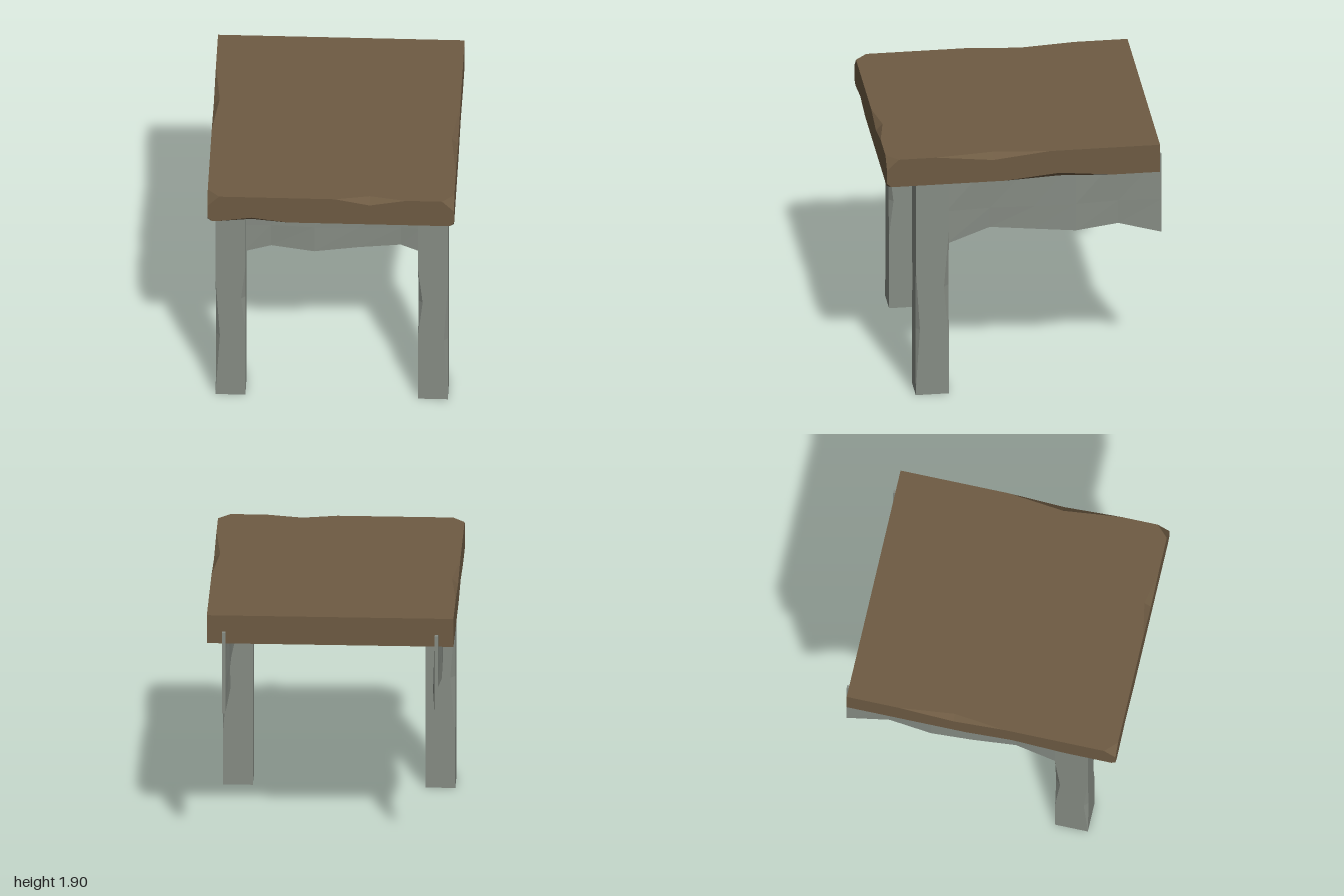
import * as THREE from 'three';

const wood = new THREE.MeshStandardMaterial({ color: 0x6e5b43, flatShading: true });
wood.name = 'brown wood';
const grey = new THREE.MeshStandardMaterial({ color: 0x868c84, flatShading: true });
grey.name = 'grey wood';

// Box with notches along its edges and cut corners.
// chip: edge = side signs (0 along the edge), span = [from, mid, to], d = depth
// cut: corner = side signs, d = cut length per axis
function chippedBox(min, max, chips, cuts = []) {
  const pos = [];
  const at = (signs) => signs.map((s, i) => (s > 0 ? max[i] : min[i]));
  const inward = (p, signs, axis, d) => {
    const q = [...p];
    q[axis] -= signs[axis] * d;
    return q;
  };
  const same = (a, b) => a.every((n, i) => n === b[i]);

  const poly = (pts, out) => {
    const o = new THREE.Vector3(...out);
    const big = out.map(Math.abs);
    const drop = big.indexOf(Math.max(...big));
    const flat = pts.map((p) => new THREE.Vector2(p[(drop + 1) % 3], p[(drop + 2) % 3]));
    for (const tri of THREE.ShapeUtils.triangulateShape(flat, [])) {
      const [a, b, c] = tri.map((i) => new THREE.Vector3(...pts[i]));
      const n = b.clone().sub(a).cross(c.clone().sub(a));
      const order = n.dot(o) > 0 ? [a, b, c] : [a, c, b];
      order.forEach((v) => pos.push(v.x, v.y, v.z));
    }
  };

  // six faces, each outlined around its notches
  const loop = [[-1, -1], [1, -1], [1, 1], [-1, 1]];
  for (let a = 0; a < 3; a++) for (const s of [-1, 1]) {
    const u = (a + 1) % 3, v = (a + 2) % 3, pts = [];
    loop.forEach(([su, sv], k) => {
      const signs = [0, 0, 0];
      signs[a] = s; signs[u] = su; signs[v] = sv;
      const along = k % 2 ? v : u, across = k % 2 ? u : v;
      const p = at(signs);
      const cut = cuts.find((c) => same(c.corner, signs));
      if (cut) {
        pts.push(inward(p, signs, across, cut.d[across]), inward(p, signs, along, cut.d[along]));
      } else pts.push(p);
      const edge = [...signs];
      edge[along] = 0;
      const chip = chips.find((c) => same(c.edge, edge));
      if (!chip) return;
      const three = chip.span.map((t, i) => {
        const q = [...p];
        q[along] = t;
        return i === 1 ? inward(q, signs, across, chip.d) : q;
      });
      if (signs[along] > 0) three.reverse();
      pts.push(...three);
    });
    const out = [0, 0, 0];
    out[a] = s;
    poly(pts, out);
  }

  // two facets inside each notch
  for (const { edge, span, d } of chips) {
    const along = edge.indexOf(0);
    const [from, mid, to] = span.map((t) => {
      const q = at(edge);
      q[along] = t;
      return q;
    });
    const c = inward(mid, edge, (along + 1) % 3, d);
    const e = inward(mid, edge, (along + 2) % 3, d);
    poly([from, c, e], edge);
    poly([to, c, e], edge);
  }
  // cut corners
  for (const { corner, d } of cuts) {
    poly([0, 1, 2].map((i) => inward(at(corner), corner, i, d[i])), corner);
  }

  const g = new THREE.BufferGeometry();
  g.setAttribute('position', new THREE.Float32BufferAttribute(pos, 3));
  g.computeVertexNormals();
  return g;
}

// Thin panel with a ragged lower edge; columns = [along, bottom, sideways]
function raggedPanel(columns, top, thickness) {
  const n = columns.length - 1;
  const g = new THREE.BoxGeometry(1, 1, 1, n, 2, 1);
  const p = g.attributes.position;
  for (let i = 0; i < p.count; i++) {
    const [along, bottom, side] = columns[Math.round((p.getX(i) + 0.5) * n)];
    const row = Math.round((p.getY(i) + 0.5) * 2);
    const y = [bottom, 1.42, top][row];
    const sway = side * [1, 0.8, 0.3][row];
    p.setXYZ(i, along, y, p.getZ(i) * thickness + sway);
  }
  g.computeVertexNormals();
  return g;
}

export function createModel() {
  const group = new THREE.Group();
  const add = (name, geometry, material) => {
    const m = new THREE.Mesh(geometry, material);
    m.name = name;
    group.add(m);
    return m;
  };

  // table top
  const cuts = [];
  for (const x of [-1, 1]) {
    cuts.push({ corner: [x, 1, 1], d: [0.085, 0.085, 0.085] });
    cuts.push({ corner: [x, -1, 1], d: [0.03, 0.03, 0.03] });
  }
  add('tableTop', chippedBox([-0.885, 1.69, -0.975], [0.885, 1.905, 1], [
    { edge: [0, 1, 1], span: [0.03, 0.28, 0.54], d: 0.048 },
    { edge: [0, -1, 1], span: [-0.8, -0.57, -0.31], d: 0.035 },
    { edge: [1, 1, 0], span: [-0.18, 0.23, 0.65], d: 0.045 },
    { edge: [1, -1, 0], span: [-0.64, -0.25, 0.15], d: 0.038 },
    { edge: [-1, 1, 0], span: [-0.59, -0.19, 0.18], d: 0.043 },
    { edge: [-1, -1, 0], span: [-0.1, 0.24, 0.63], d: 0.038 },
  ], cuts), wood);

  // two front legs, mirrored
  for (const s of [1, -1]) {
    const x = [0.62 * s, 0.833 * s].sort((a, b) => a - b);
    add(s > 0 ? 'leftLeg' : 'rightLeg', chippedBox([x[0], 0, 0.545], [x[1], 1.69, 0.785], [
      { edge: [s, 0, 1], span: [0.03, 0.52, 1.0], d: 0.03 },
      { edge: [-s, 0, 1], span: [0.58, 0.85, 1.13], d: 0.032 },
      { edge: [s, 0, -1], span: [0.42, 0.85, 1.3], d: 0.036 },
    ]), grey);
  }

  // front apron between the legs
  add('frontApron', raggedPanel([
    [-0.63, 1.19, 0], [-0.44, 1.237, -0.015], [-0.13, 1.21, 0.01],
    [0.19, 1.245, -0.005], [0.49, 1.265, -0.02], [0.63, 1.222, 0],
  ], 1.78, 0.025), grey).position.z = 0.66;

  // side aprons running to the open back
  for (const s of [1, -1]) {
    const side = add(s > 0 ? 'leftApron' : 'rightApron', raggedPanel([
      [-0.56, 1.16, 0], [-0.24, 1.265, -0.025 * s], [0.08, 1.24, -0.005 * s],
      [0.38, 1.21, 0], [0.69, 1.238, -0.025 * s], [1, 1.16, 0],
    ], 1.78, 0.025), grey);
    side.rotation.y = Math.PI / 2;
    side.position.x = 0.764 * s;
  }
  return group;
}
